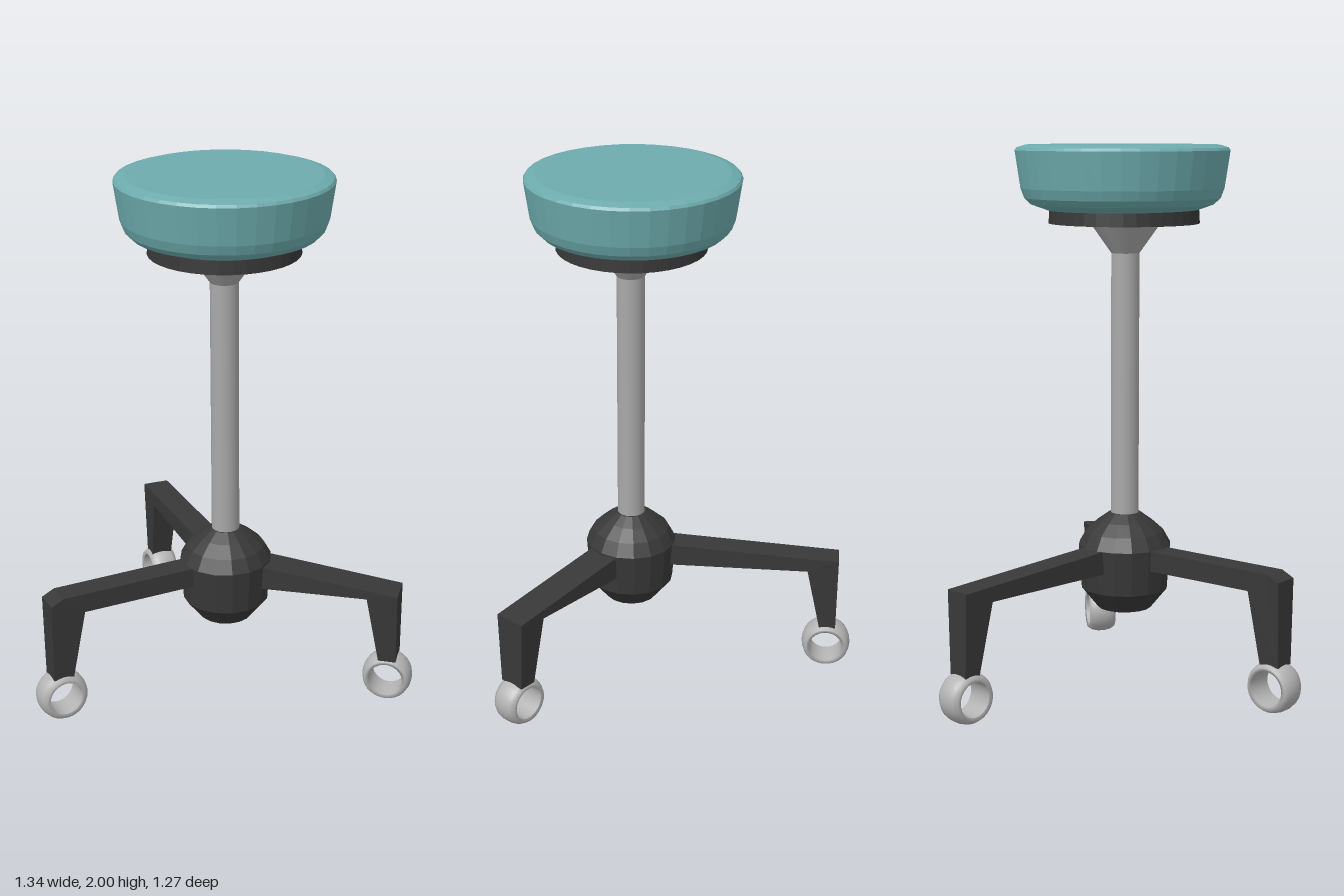
import * as THREE from 'three';

const mat = (name, color, flat = false) => {
  const m = new THREE.MeshStandardMaterial({ color, flatShading: flat });
  m.name = name;
  return m;
};

export function createModel() {
  const teal = mat('teal upholstery', 0x6dabad, true);
  const dark = mat('dark plastic', 0x383838, true);
  const steel = mat('brushed steel', 0xa9a9a9);
  const caster = mat('caster grey', 0xb4b4b4);

  const group = new THREE.Group();
  group.name = 'stool';
  const add = (parent, name, geometry, material, x = 0, y = 0, z = 0) => {
    const mesh = new THREE.Mesh(geometry, material);
    mesh.name = name;
    mesh.position.set(x, y, z);
    parent.add(mesh);
    return mesh;
  };
  const lathe = (points, sides) =>
    new THREE.LatheGeometry(points.map(([r, y]) => new THREE.Vector2(r, y)), sides);

  // The column stands slightly off the middle of the uneven base
  const cx = -0.06, cz = 0.095;

  // Padded seat and its mounting plate
  add(group, 'seat', lathe([
    [0, 1.765], [0.27, 1.765], [0.335, 1.788], [0.357, 1.81], [0.37, 1.845],
    [0.39, 1.98], [0.383, 1.99], [0.35, 2], [0, 2],
  ], 36), teal, cx, 0, 0.083);
  add(group, 'seatPlate', new THREE.CylinderGeometry(0.272, 0.275, 0.05, 36), dark, cx, 1.743, 0.09);

  // Column with flared top
  add(group, 'columnFlare', new THREE.CylinderGeometry(0.13, 0.052, 0.11, 24), steel, cx, 1.665, cz);
  add(group, 'column', new THREE.CylinderGeometry(0.052, 0.052, 1.05, 20), steel, cx, 1.12, cz);

  // Faceted hub
  add(group, 'hub', lathe([
    [0, 0.283], [0.1, 0.283], [0.162, 0.36], [0.173, 0.525],
    [0.145, 0.575], [0.1, 0.615], [0.058, 0.645], [0, 0.645],
  ], 16), dark, cx, 0, cz);

  // Hollow caster ring with a rounded tread, axis along z
  const ringGeometry = lathe([
    [0.064, -0.05], [0.078, -0.053], [0.089, -0.036], [0.094, -0.012],
    [0.094, 0.012], [0.089, 0.036], [0.078, 0.053], [0.064, 0.05], [0.064, -0.05],
  ], 28);
  ringGeometry.rotateX(Math.PI / 2);

  // Legs: profile runs outward (distance, height), then down to the caster
  const legs = [
    { name: 'leftLeg', angle: 0, width: 0.125, wheel: [0.633, 0.095],
      profile: [[0.08, 0.43], [0.555, 0.435], [0.603, 0.175], [0.67, 0.175], [0.67, 0.455], [0.08, 0.53]] },
    { name: 'backRightLeg', angle: 125.5, width: 0.1, wheel: [0.774, 0.105],
      profile: [[0.08, 0.44], [0.69, 0.44], [0.745, 0.185], [0.808, 0.185], [0.808, 0.488], [0.08, 0.53]] },
    { name: 'frontRightLeg', angle: -138.7, width: 0.095, wheel: [0.687, 0.115],
      profile: [[0.08, 0.45], [0.6, 0.455], [0.65, 0.195], [0.728, 0.195], [0.728, 0.505],
        [0.68, 0.528], [0.08, 0.525]] },
  ];
  for (const { name, angle, width, wheel, profile } of legs) {
    const leg = new THREE.Group();
    leg.name = name;
    leg.position.set(cx, 0, cz);
    leg.rotation.y = THREE.MathUtils.degToRad(angle);
    const shape = new THREE.Shape(profile.map(([r, y]) => new THREE.Vector2(r, y)));
    const arm = new THREE.ExtrudeGeometry(shape, { depth: width, bevelEnabled: false });
    arm.translate(0, 0, -width / 2);
    // The upright narrows towards its foot
    const p = arm.attributes.position;
    for (let i = 0; i < p.count; i++) {
      if (p.getY(i) < 0.25) p.setZ(i, p.getZ(i) * 0.82);
    }
    arm.computeVertexNormals();
    add(leg, 'arm', arm, dark);
    add(leg, 'casterRing', ringGeometry, caster, wheel[0], wheel[1], 0);
    group.add(leg);
  }
  return group;
}
